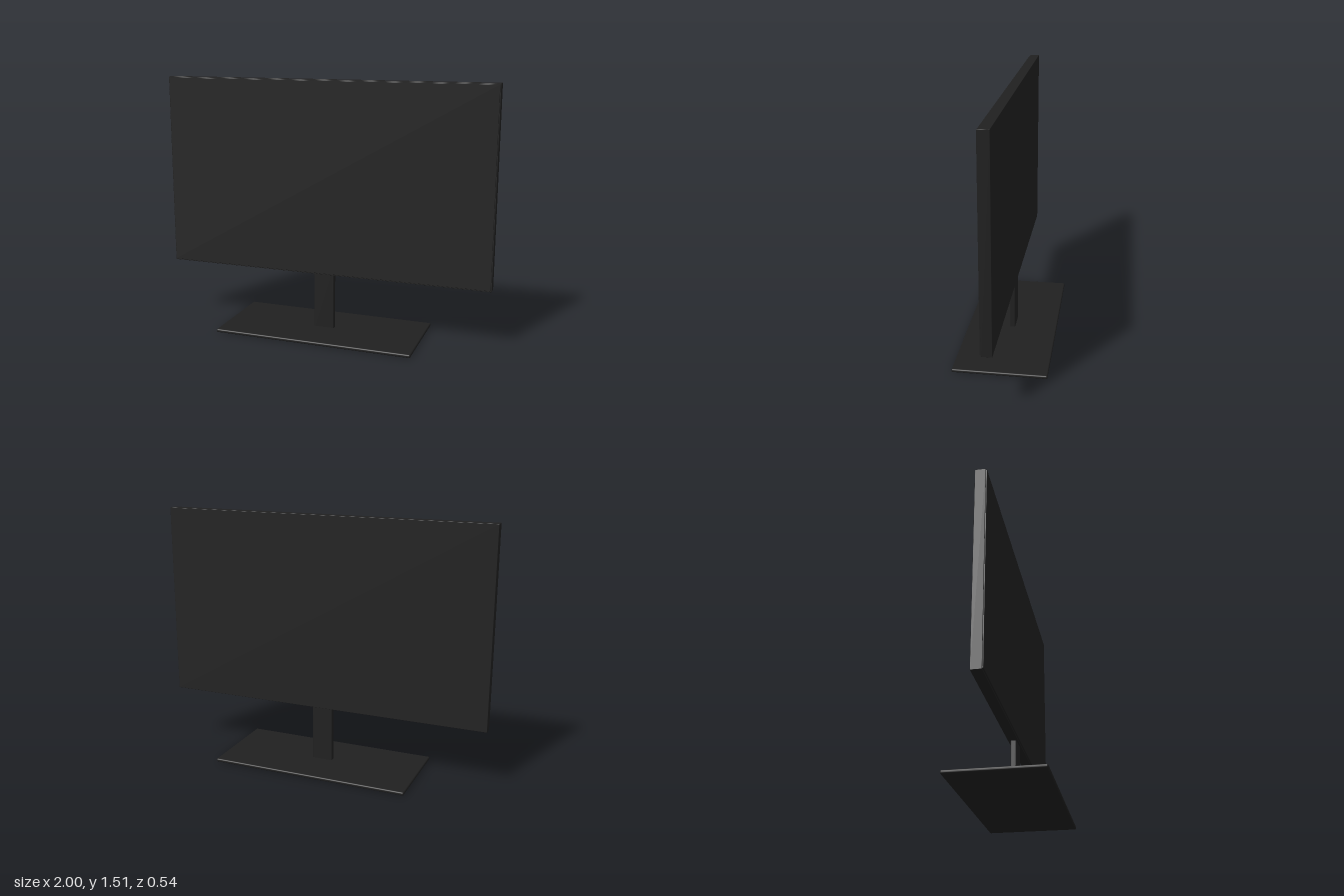
import * as THREE from 'three';
import { RoundedBoxGeometry } from 'three/addons/geometries/RoundedBoxGeometry.js';

export function createModel() {
  const group = new THREE.Group();
  const blackPlastic = new THREE.MeshStandardMaterial({ color: 0x202020 });
  blackPlastic.name = 'blackPlastic';

  // Box with softened edges, placed by its bottom and top heights
  function slab(name, width, bottom, top, depth, radius, z = 0) {
    const geometry = new RoundedBoxGeometry(width, top - bottom, depth, 3, radius);
    const mesh = new THREE.Mesh(geometry, blackPlastic);
    mesh.name = name;
    mesh.position.set(0, (bottom + top) / 2, z);
    group.add(mesh);
  }

  // Flat rectangular foot and upright neck
  slab('base', 1.2, 0, 0.02, 0.54, 0.008);
  slab('neck', 0.126, 0.01, 0.40, 0.034, 0.006);

  // Display housing with a slightly inset front panel
  slab('housing', 2, 0.355, 1.512, 0.058, 0.002, -0.003);
  slab('screen', 1.99, 0.362, 1.507, 0.012, 0.002, 0.026);

  return group;
}
